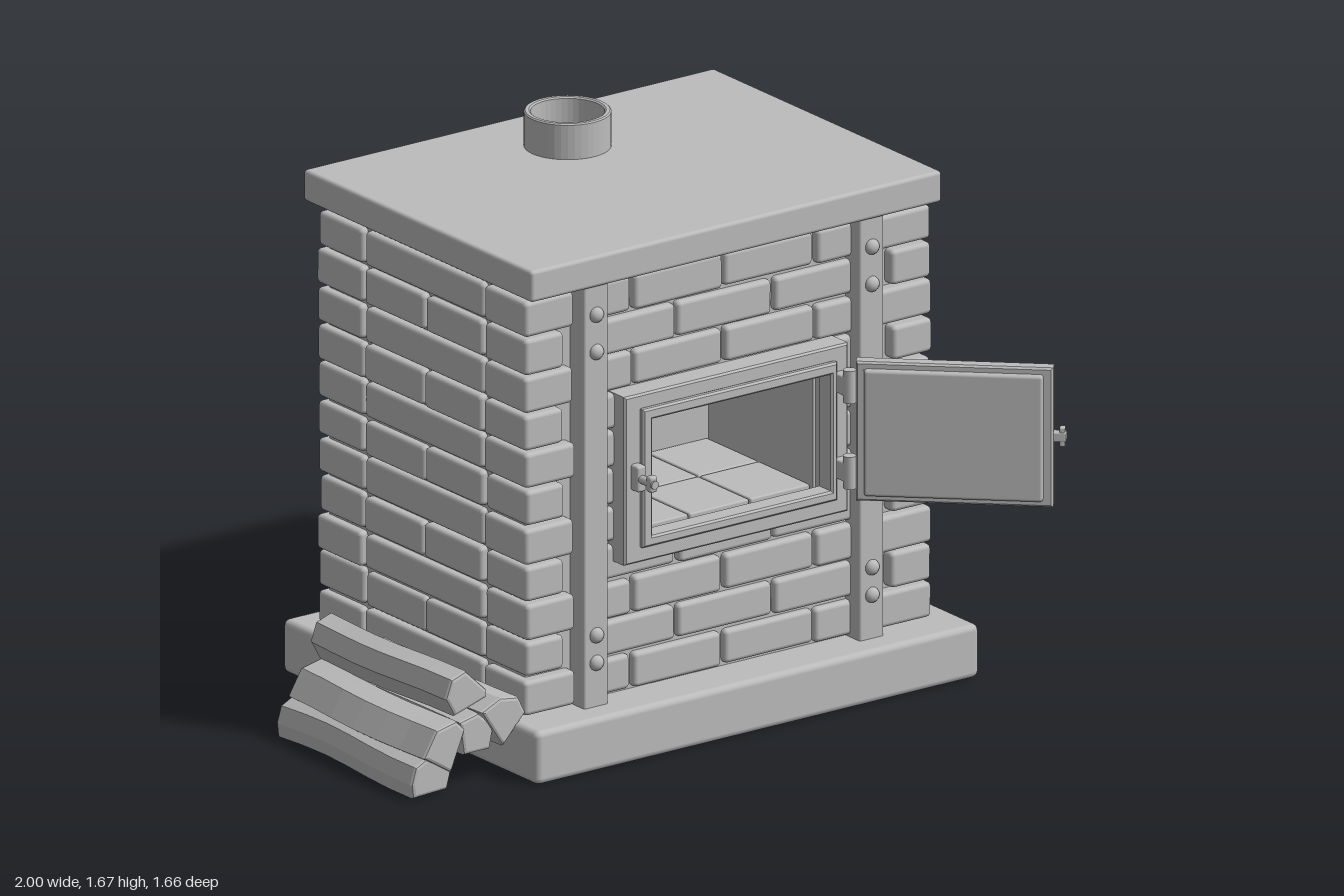
import * as THREE from 'three';
import { RoundedBoxGeometry } from 'three/addons/geometries/RoundedBoxGeometry.js';

const stone = new THREE.MeshStandardMaterial({ color: 0xbcbcbc });
stone.name = 'plain grey';

let seed = 7;
const jitter = (a) => {
  seed = (seed * 16807) % 2147483647;
  return (seed / 2147483647 - 0.5) * 2 * a;
};

function add(parent, name, geometry, x = 0, y = 0, z = 0) {
  const mesh = new THREE.Mesh(geometry, stone);
  mesh.name = name;
  mesh.position.set(x, y, z);
  parent.add(mesh);
  return mesh;
}

// Box given by its limits, with rounded edges when r > 0
function block(parent, name, x0, x1, y0, y1, z0, z1, r = 0) {
  const w = x1 - x0, h = y1 - y0, d = z1 - z0;
  const geometry = r > 0
    ? new RoundedBoxGeometry(w, h, d, 2, Math.min(r, w / 2.1, h / 2.1, d / 2.1))
    : new THREE.BoxGeometry(w, h, d);
  return add(parent, name, geometry, (x0 + x1) / 2, (y0 + y1) / 2, (z0 + z1) / 2);
}

function rectPath(path, x0, x1, y0, y1) {
  path.moveTo(x0, y0);
  path.lineTo(x1, y0);
  path.lineTo(x1, y1);
  path.lineTo(x0, y1);
  path.closePath();
  return path;
}

// Rectangular ring: outer and inner limits as [x0, x1, y0, y1]
function ring(parent, name, outer, inner, z0, z1, bevel = 0.006) {
  const shape = rectPath(new THREE.Shape(), ...outer);
  shape.holes.push(rectPath(new THREE.Path(), ...inner));
  const geometry = new THREE.ExtrudeGeometry(shape, {
    depth: z1 - z0 - 2 * bevel, bevelThickness: bevel, bevelSize: bevel, bevelOffset: -bevel, bevelSegments: 1,
  });
  return add(parent, name, geometry, 0, 0, z0 + bevel);
}

function brick(parent, x0, x1, y0, y1, z0, z1) {
  const g = 0.005;
  const mesh = block(parent, 'brick', x0 + jitter(0.004), x1 + jitter(0.004),
    y0 + g + jitter(0.003), y1 - g + jitter(0.003), z0 + jitter(0.004), z1 + jitter(0.004), 0.014);
  mesh.rotation.z = jitter(0.006);
}

function buildBody(group) {
  // Mortar core built round the firebox
  const core = new THREE.Group();
  core.name = 'mortarCore';
  group.add(core);
  block(core, 'coreLeft', -0.562, -0.18, 0.15, 1.48, -0.695, 0.262);
  block(core, 'coreRight', 0.48, 0.855, 0.15, 1.48, -0.695, 0.262);
  block(core, 'coreBelow', -0.18, 0.48, 0.15, 0.635, -0.695, 0.262);
  block(core, 'coreAbove', -0.18, 0.48, 1.035, 1.48, -0.695, 0.262);
  block(core, 'coreBack', -0.18, 0.48, 0.635, 1.035, -0.695, -0.25);

  // Brick courses
  const bricks = new THREE.Group();
  bricks.name = 'brickCourses';
  group.add(bricks);
  const rows = 11, y0 = 0.168, h = (1.452 - y0) / rows;
  for (let i = 0; i < rows; i++) {
    const a = y0 + i * h, b = a + h, odd = i % 2;
    const left = odd ? -0.45 : -0.41, right = odd ? 0.74 : 0.69;
    for (const [z0, z1] of [[0.094, 0.3], [-0.72, -0.504]]) {
      brick(bricks, -0.587, left, a, b, z0, z1);
      brick(bricks, right, 0.88, a, b, z0, z1);
    }
    // Side walls
    const seams = odd ? [0.086, -0.2, -0.496] : [0.086, -0.496];
    for (let k = 0; k + 1 < seams.length; k++) {
      const z1 = seams[k] - 0.004, z0 = seams[k + 1] + 0.004;
      brick(bricks, 0.8, 0.88, a, b, z0, z1);
      brick(bricks, -0.587, -0.5, a, b, z0, z1);
    }
    // Front and back panels between the straps
    const joints = odd ? [-0.33, -0.03, 0.32, 0.62] : [-0.33, -0.19, 0.14, 0.47, 0.62];
    const behindFrame = i >= 4 && i <= 7;
    for (let k = 0; k + 1 < joints.length; k++) {
      const l = joints[k] + 0.006, r = joints[k + 1] - 0.006;
      if (!behindFrame) brick(bricks, l, r, a, b, 0.2, 0.287);
      if (!behindFrame) brick(bricks, l, r, a, b, -0.707, -0.62);
    }
    if (behindFrame) {
      brick(bricks, -0.33, -0.24, a, b, 0.2, 0.287);
      brick(bricks, 0.53, 0.62, a, b, 0.2, 0.287);
      brick(bricks, -0.33, odd ? 0.2 : 0.62, a, b, -0.707, -0.62);
      if (odd) brick(bricks, 0.21, 0.62, a, b, -0.707, -0.62);
    }
  }

  // Firebox floor tiles
  for (let i = 0; i < 3; i++)
    for (let j = 0; j < 2; j++)
      block(group, 'fireboxTile', -0.18 + i * 0.22, 0.035 + i * 0.22, 0.62, 0.655,
        -0.25 + j * 0.255, j * 0.255, 0.006);
}

// Vertical iron straps with rivets
function buildStraps(group) {
  for (const [x0, x1] of [[-0.4, -0.312], [0.598, 0.686]])
    for (const [z0, z1, out] of [[0.25, 0.332, 1], [-0.748, -0.68, -1]]) {
      block(group, 'strap', x0, x1, 0.15, 1.475, z0, z1, 0.008);
      for (const y of [1.375, 1.26, 0.385, 0.3]) {
        const rivet = add(group, 'rivet', new THREE.SphereGeometry(0.024, 12, 8),
          (x0 + x1) / 2, y, out > 0 ? z1 : z0);
        rivet.scale.z = 0.8;
      }
    }
}

function buildDoor(group) {
  ring(group, 'doorFrame', [-0.26, 0.55, 0.58, 1.1], [-0.195, 0.49, 0.632, 1.05], 0.25, 0.342);
  ring(group, 'frameLip', [-0.205, 0.5, 0.628, 1.055], [-0.17, 0.478, 0.66, 1.02], 0.29, 0.358);

  // Catch on the left of the frame
  block(group, 'catchPlate', -0.238, -0.205, 0.81, 0.89, 0.33, 0.375, 0.008);
  const knob = add(group, 'catch', new THREE.CylinderGeometry(0.013, 0.013, 0.09, 12), -0.222, 0.85, 0.395);
  knob.rotation.x = Math.PI / 2;
  block(group, 'catchHead', -0.236, -0.208, 0.825, 0.875, 0.41, 0.435, 0.008);

  // Hinges
  for (const y of [0.725, 0.99]) {
    block(group, 'hingeLeaf', 0.495, 0.535, y - 0.03, y + 0.03, 0.33, 0.4, 0.006);
    add(group, 'hingePin', new THREE.CylinderGeometry(0.02, 0.02, 0.1, 14), 0.515, y, 0.395);
  }

  // Open door; local +z is its inner face
  const door = new THREE.Group();
  door.name = 'door';
  door.position.set(0.522, 0.855, 0.4);
  door.rotation.y = -0.74;
  group.add(door);
  block(door, 'doorPanel', 0.03, 0.56, -0.19, 0.19, -0.012, 0.02);
  ring(door, 'doorRim', [0.01, 0.588, -0.215, 0.215], [0.05, 0.548, -0.182, 0.182], -0.03, 0.016);
  block(door, 'innerPlate', 0.035, 0.56, -0.195, 0.195, 0.0, 0.034, 0.01);
  block(door, 'latchBar', 0.55, 0.625, -0.015, 0.015, -0.02, 0.01, 0.005);
  block(door, 'latchPlate', 0.55, 0.58, -0.05, 0.05, -0.042, -0.02, 0.006);
  block(door, 'latchEnd', 0.605, 0.622, -0.03, 0.03, -0.018, 0.008, 0.005);
}

function buildPipe(group) {
  // Hollow flue collar
  const profile = [[0.108, 1.55], [0.108, 1.668], [0.113, 1.672], [0.124, 1.672], [0.128, 1.668], [0.128, 1.55]]
    .map(([r, y]) => new THREE.Vector2(r, y)).reverse();
  const pipe = add(group, 'flueCollar', new THREE.LatheGeometry(profile, 40).toNonIndexed(), 0.142, 0, -0.482);
  pipe.geometry.computeVertexNormals();
  add(group, 'flueFloor', new THREE.CylinderGeometry(0.12, 0.12, 0.02, 32), 0.142, 1.556, -0.482);
}

// Split logs stacked beside the stove
function buildLogs(group) {
  const sections = [
    [[-0.99, 0.01], [-0.87, 0.015], [-0.855, 0.07], [-0.92, 0.13], [-0.98, 0.1], [-0.995, 0.05]],
    [[-0.965, 0.125], [-0.87, 0.065], [-0.82, 0.185], [-0.85, 0.215], [-0.92, 0.2]],
    [[-0.805, 0.1], [-0.715, 0.1], [-0.7, 0.17], [-0.755, 0.215], [-0.82, 0.2]],
    [[-0.745, 0.215], [-0.67, 0.1], [-0.59, 0.185], [-0.615, 0.235], [-0.68, 0.245]],
    [[-0.88, 0.28], [-0.85, 0.225], [-0.735, 0.26], [-0.735, 0.28], [-0.81, 0.352], [-0.86, 0.335]],
  ];
  sections.forEach((points, i) => {
    const shape = new THREE.Shape(points.map(([x, y]) => new THREE.Vector2(x, y)));
    const geometry = new THREE.ExtrudeGeometry(shape, {
      depth: 0.65, steps: 6, bevelThickness: 0.01, bevelSize: 0.01, bevelOffset: -0.008, bevelSegments: 2,
    });
    // Gentle bow along the grain
    const p = geometry.attributes.position;
    for (let k = 0; k < p.count; k++) {
      const z = p.getZ(k);
      p.setX(k, p.getX(k) + 0.007 * Math.sin(z * 9 + i * 2));
      p.setY(k, Math.max(0, p.getY(k) + 0.005 * Math.sin(z * 7 + i)));
    }
    geometry.computeVertexNormals();
    add(group, 'splitLog', geometry, 0, 0, -0.36 + (i % 2) * 0.008);
  });
}

export function createModel() {
  const model = new THREE.Group();
  model.name = 'brickStove';
  block(model, 'hearthSlab', -0.635, 0.97, 0, 0.165, -0.83, 0.418, 0.02);
  block(model, 'topSlab', -0.602, 0.886, 1.465, 1.562, -0.772, 0.347, 0.012);
  buildBody(model);
  buildStraps(model);
  buildDoor(model);
  buildPipe(model);
  buildLogs(model);
  return model;
}
